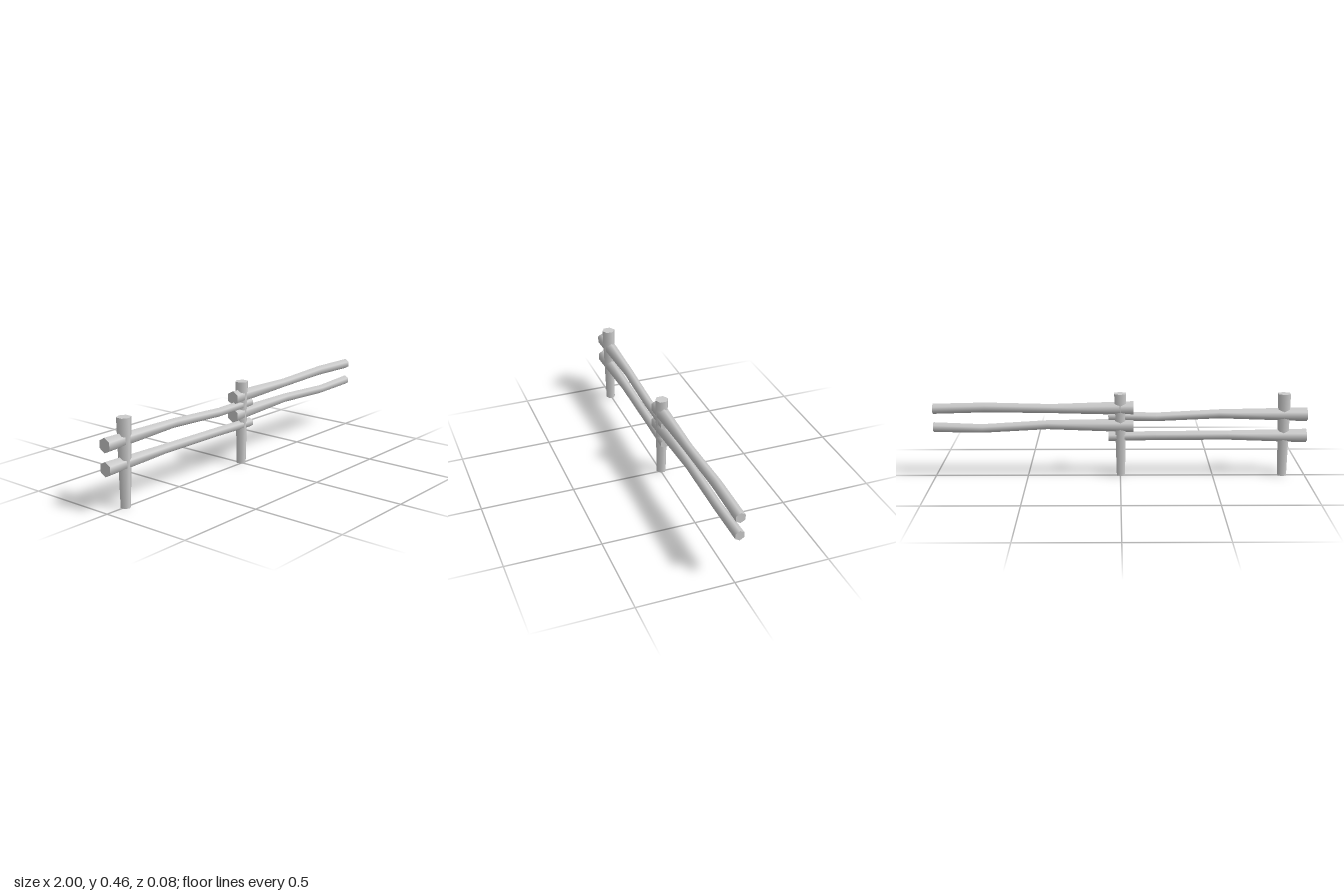
import * as THREE from 'three';

const material = new THREE.MeshStandardMaterial({ color: 0xcccccc });

// Six-sided log through sections [x, y, z, radius], listed from its +x (rail) or top (post) end
function log(name, sections, isRail) {
  const n = sections.length - 1;
  const geo = new THREE.CylinderGeometry(1, 1, 1, 6, n, false, isRail ? Math.PI / 2 : 0);
  const pos = geo.attributes.position;
  const ring = [];
  for (let i = 0; i < pos.count; i++) {
    ring.push(Math.round((0.5 - pos.getY(i)) * n));
    pos.setY(i, 0);
  }
  if (isRail) geo.rotateZ(-Math.PI / 2);
  for (let i = 0; i < pos.count; i++) {
    const [x, y, z, r] = sections[ring[i]];
    pos.setXYZ(i, x + pos.getX(i) * r, y + pos.getY(i) * r, z + pos.getZ(i) * r);
  }
  const mesh = new THREE.Mesh(geo, material);
  mesh.name = name;
  return mesh;
}

export function createModel() {
  const group = new THREE.Group();
  group.name = 'railFence';

  // Tapered, slightly leaning posts
  group.add(log('endPost', [
    [-0.876, 0.453, 0.005, 0.037], [-0.878, 0, 0.002, 0.026],
  ], false));
  group.add(log('middlePost', [
    [0.002, 0.457, -0.004, 0.036], [-0.003, 0.004, -0.003, 0.026],
  ], false));

  // Crooked rails, thick at the -x end
  group.add(log('rightUpperRail', [
    [0.065, 0.332, 0, 0.026], [-0.19, 0.327, 0, 0.024],
    [-0.53, 0.344, -0.002, 0.025], [-1, 0.34, 0, 0.038],
  ], true));
  group.add(log('rightLowerRail', [
    [0.065, 0.218, 0, 0.026], [-0.19, 0.223, 0, 0.025],
    [-0.58, 0.226, -0.002, 0.026], [-1, 0.222, 0, 0.038],
  ], true));
  group.add(log('leftUpperRail', [
    [1, 0.377, -0.014, 0.028], [0.72, 0.384, -0.014, 0.027],
    [0.37, 0.376, -0.009, 0.025], [-0.07, 0.377, -0.005, 0.038],
  ], true));
  group.add(log('leftLowerRail', [
    [1, 0.276, -0.014, 0.027], [0.74, 0.268, -0.014, 0.024],
    [0.39, 0.287, -0.009, 0.025], [-0.07, 0.281, -0.005, 0.038],
  ], true));
  return group;
}
